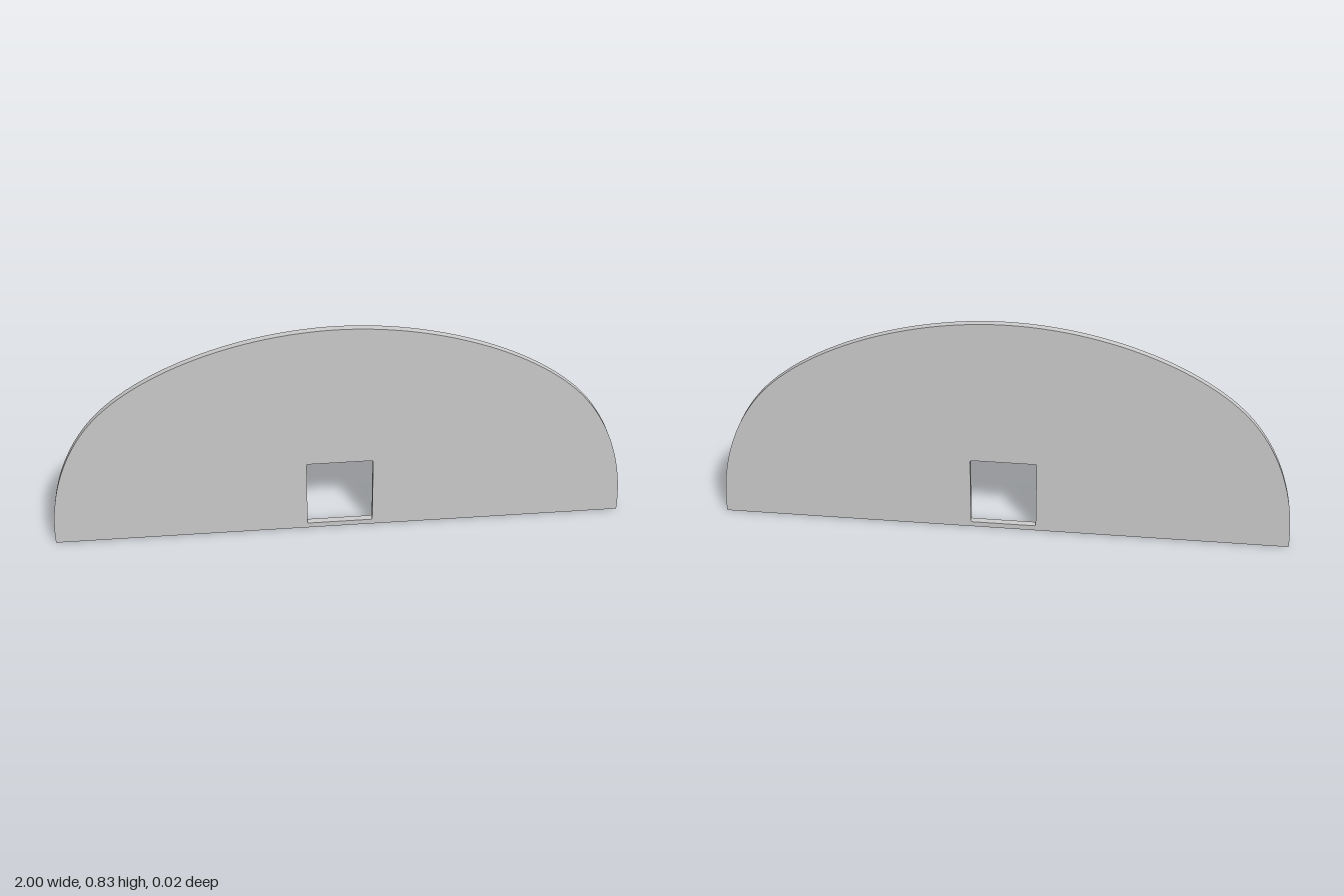
import * as THREE from 'three';

const DEPTH = 0.022;

// Rectangular opening with slightly eased corners
function windowPath(x0, y0, x1, y1, r) {
  const p = new THREE.Path();
  p.moveTo(x0 + r, y0);
  p.lineTo(x1 - r, y0);
  p.quadraticCurveTo(x1, y0, x1, y0 + r);
  p.lineTo(x1, y1 - r);
  p.quadraticCurveTo(x1, y1, x1 - r, y1);
  p.lineTo(x0 + r, y1);
  p.quadraticCurveTo(x0, y1, x0, y1 - r);
  p.lineTo(x0, y0 + r);
  p.quadraticCurveTo(x0, y0, x0 + r, y0);
  return p;
}

export function createModel() {
  const group = new THREE.Group();
  group.name = 'archedPanel';

  // Domed outline: straight base, steep shoulders, shallow crown
  const outline = new THREE.Shape();
  outline.moveTo(-1, 0);
  outline.lineTo(1, 0);
  outline.bezierCurveTo(1, 0.21, 0.93, 0.415, 0.8, 0.545);
  outline.bezierCurveTo(0.635, 0.71, 0.32, 0.835, 0, 0.835);
  outline.bezierCurveTo(-0.32, 0.835, -0.635, 0.71, -0.8, 0.545);
  outline.bezierCurveTo(-0.93, 0.415, -1, 0.21, -1, 0);
  outline.holes.push(windowPath(-0.115, 0.02, 0.115, 0.287, 0.006));

  const geometry = new THREE.ExtrudeGeometry(outline, {
    depth: DEPTH, bevelEnabled: false, curveSegments: 24,
  });
  geometry.translate(0, 0, -DEPTH / 2);

  const panel = new THREE.Mesh(geometry, new THREE.MeshStandardMaterial({ color: 0xcccccc }));
  panel.name = 'panel';
  group.add(panel);
  return group;
}
